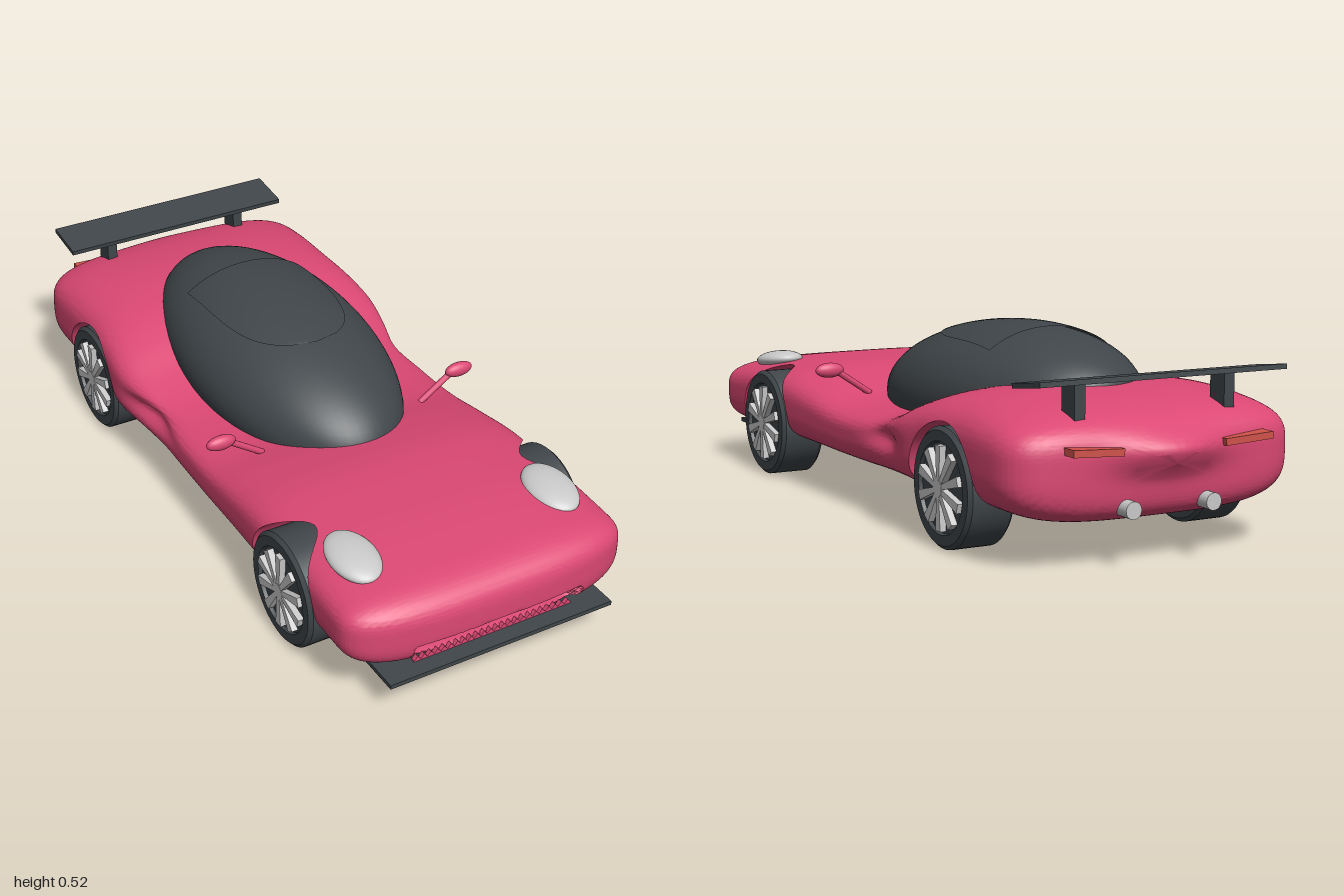
import * as THREE from 'three';
import { toCreasedNormals } from 'three/addons/utils/BufferGeometryUtils.js';

const mat = (name, color, side = THREE.FrontSide) => new THREE.MeshStandardMaterial({ name, color, side });
const smooth = THREE.MathUtils.smoothstep;

// z, top height, half width, height of the widest line
const PROFILE = [
  [-1.0, 0.34, 0.405, 0.25], [-0.9, 0.365, 0.412, 0.25], [-0.75, 0.392, 0.415, 0.25], [-0.6, 0.4, 0.413, 0.25],
  [-0.45, 0.385, 0.42, 0.25], [-0.35, 0.355, 0.425, 0.24], [-0.25, 0.315, 0.412, 0.23], [-0.13, 0.285, 0.396, 0.21],
  [0.0, 0.277, 0.395, 0.2], [0.15, 0.283, 0.398, 0.2], [0.3, 0.313, 0.402, 0.21], [0.45, 0.336, 0.408, 0.22],
  [0.6, 0.338, 0.408, 0.22], [0.75, 0.332, 0.41, 0.22], [0.88, 0.316, 0.412, 0.22], [1.0, 0.3, 0.412, 0.22],
];
const BOTTOM = 0.1, ARCH_R = 0.167, WELL_X = 0.27, WHEEL_Y = 0.155, AXLES = [-0.555, 0.6];
const AROUND = 144, N = 3.5;

// Lofted shell with wheel wells, rounded ends, side scoops, tail lip and mouth
function bodyGeometry() {
  const spline = new THREE.CubicInterpolant(
    new Float32Array(PROFILE.map(p => p[0])), new Float32Array(PROFILE.flatMap(p => p.slice(1))), 3);
  const rings = [];
  const addRing = (z, scale = 1, centreY = 0, axle = null) => {
    const [top, w, cy] = spline.evaluate(z);
    const ring = [];
    let arch = -1, edge = 9;
    if (axle !== null) {
      arch = WHEEL_Y + Math.sqrt(Math.max(0, ARCH_R ** 2 - (z - axle) ** 2));
      const k = Math.max(0, (arch - cy) / (top - cy));
      edge = Math.max(WELL_X, w * Math.max(0, 1 - k ** N) ** (1 / N));
    }
    for (let j = 0; j < AROUND; j++) {
      const a = j / AROUND * Math.PI * 2, c = Math.cos(a), s = Math.sin(a);
      const r = (Math.abs(c) ** N + Math.abs(s) ** N) ** (-1 / N);
      let x = w * r * c, y = cy + (s > 0 ? top - cy : cy - BOTTOM) * r * s, pz = z;
      // wheel well
      if (y < arch && Math.abs(x) > WELL_X) {
        y = arch;
        x = Math.sign(x) * Math.min(Math.abs(x), edge);
      }
      // side scoop
      x *= 1 - 0.07 * Math.exp(-(((z + 0.19) / 0.1) ** 2) - ((y - 0.225) / 0.028) ** 2);
      if (scale < 1) {
        x *= scale;
        y = centreY + (y - centreY) * scale;
        if (z < 0) pz -= 0.055 * Math.exp(-((x / 0.14) ** 2) - ((y - 0.28) / 0.05) ** 2);
        else pz -= 0.05 * (1 - smooth(Math.abs(x), 0.225, 0.25)) * smooth(y, 0.112, 0.122) * (1 - smooth(y, 0.163, 0.178));
      }
      ring.push(x, y, pz);
    }
    rings.push(ring);
  };
  const span = (a, b, n, axle = null) => {
    for (let i = 0; i <= n; i++) {
      const t = axle === null ? i / n : 0.5 - 0.5 * Math.cos(i / n * Math.PI);
      addRing(a + (b - a) * t, 1, 0, axle);
    }
  };
  const end = (z0, depth, p, cy, n, k) => {
    const a = k / n * Math.PI / 2;
    addRing(z0 + depth * Math.sin(a) ** (2 / p), Math.max(0, Math.cos(a)) ** (2 / p), cy);
  };
  for (let k = 36; k > 0; k--) end(-0.74, -0.205, 4.5, 0.25, 36, k);
  const [rear, front] = AXLES;
  span(-0.74, rear - ARCH_R, 2);
  span(rear - ARCH_R, rear + ARCH_R, 32, rear);
  span(rear + ARCH_R, front - ARCH_R, 50);
  span(front - ARCH_R, front + ARCH_R, 32, front);
  span(front + ARCH_R, 0.86, 6);
  for (let k = 1; k <= 44; k++) end(0.86, 0.13, 3, 0.21, 44, k);

  const index = [];
  for (let i = 0; i < rings.length - 1; i++) {
    for (let j = 0; j < AROUND; j++) {
      const k = (j + 1) % AROUND, a = i * AROUND, b = a + AROUND;
      index.push(a + j, a + k, b + j, a + k, b + k, b + j);
    }
  }
  const g = new THREE.BufferGeometry();
  g.setAttribute('position', new THREE.Float32BufferAttribute(rings.flat(), 3));
  g.setIndex(index);
  return toCreasedNormals(g, 0.7);
}

// Canopy dome, sheared so that the rear sits higher
const DOME = { x: 0.275, y: 0.195, z: 0.522, cy: 0.32, cz: -0.167, shear: 0.075 };
function domeGeometry() {
  const g = new THREE.SphereGeometry(1, 64, 40).scale(DOME.x, DOME.y, DOME.z);
  const p = g.attributes.position;
  for (let i = 0; i < p.count; i++) p.setY(i, p.getY(i) - DOME.shear * p.getZ(i));
  g.computeVertexNormals();
  return g.translate(0, DOME.cy, DOME.cz);
}
function roofGeometry() {
  const g = new THREE.PlaneGeometry(2, 1, 24, 24).rotateX(-Math.PI / 2);
  const p = g.attributes.position;
  for (let i = 0; i < p.count; i++) {
    const t = p.getZ(i) + 0.5, z = -0.38 + 0.44 * t;
    const x = p.getX(i) * 0.18 * (1 - t ** 4) ** 0.5;
    const h = Math.sqrt(1 - (x / DOME.x) ** 2 - ((z - DOME.cz) / DOME.z) ** 2);
    p.setXYZ(i, x, DOME.cy + DOME.y * h - DOME.shear * (z - DOME.cz) + 0.005, z);
  }
  g.computeVertexNormals();
  return g;
}

export function createModel() {
  const car = new THREE.Group();
  car.name = 'sportsCar';
  const paint = mat('pinkPaint', 0xdb4873);
  const dark = mat('darkGrey', 0x40464a, THREE.DoubleSide);
  const silver = mat('silver', 0xc9c9c9);
  const red = mat('tailRed', 0xd0524a);
  const add = (name, geo, material, x = 0, y = 0, z = 0, parent = car) => {
    const m = new THREE.Mesh(geo, material);
    m.name = name;
    m.position.set(x, y, z);
    parent.add(m);
    return m;
  };
  const box = (x, y, z) => new THREE.BoxGeometry(x, y, z);

  add('body', bodyGeometry(), paint);
  add('canopy', domeGeometry(), dark);
  add('roofPanel', roofGeometry(), dark);
  add('frontSplitter', box(0.66, 0.012, 0.18), dark, 0, 0.101, 0.91);

  // Toothed strip along the mouth's lower edge
  const teeth = new THREE.Shape();
  teeth.moveTo(-0.235, 0.105);
  for (let i = 0; i <= 48; i++) teeth.lineTo(-0.235 + i * 0.47 / 48, i % 2 ? 0.122 : 0.11);
  teeth.lineTo(0.235, 0.105);
  add('mouthTeeth', new THREE.ExtrudeGeometry(teeth, { depth: 0.012, bevelEnabled: false }), paint, 0, 0, 0.942);

  // Rear wing
  add('wingBoard', box(0.705, 0.013, 0.132), dark, 0, 0.447, -0.87).rotation.x = 0.13;

  // Tyre section, turned about its axle
  const tyre = toCreasedNormals(new THREE.LatheGeometry([
    [0, -0.065], [0.145, -0.065], [0.155, -0.055], [0.155, 0.055], [0.145, 0.065], [0.118, 0.065], [0.115, 0.055], [0, 0.055],
  ].map(p => new THREE.Vector2(...p)), 48), 0.5).rotateZ(-Math.PI / 2);
  const spokeShape = new THREE.Shape([[-0.006, 0.01], [0.006, 0.01], [0.013, 0.108], [-0.013, 0.108]].map(p => new THREE.Vector2(...p)));
  const spoke = new THREE.ExtrudeGeometry(spokeShape, { depth: 0.02, bevelEnabled: false }).rotateY(Math.PI / 2);

  for (const s of [1, -1]) {
    const side = s > 0 ? 'left' : 'right';
    for (const z of AXLES) {
      const wheel = new THREE.Group();
      wheel.name = side + (z > 0 ? 'FrontWheel' : 'RearWheel');
      wheel.position.set(s * 0.35, WHEEL_Y, z);
      wheel.rotation.y = s > 0 ? 0 : Math.PI;
      car.add(wheel);
      add('tyre', tyre, dark, 0, 0, 0, wheel);
      add('hub', new THREE.CylinderGeometry(0.022, 0.022, 0.02, 20).rotateZ(Math.PI / 2), silver, 0.063, 0, 0, wheel);
      for (let i = 0; i < 10; i++) add('spoke', spoke, silver, 0.052, 0, 0, wheel).rotation.x = i * Math.PI / 5;
    }
    // Lights
    add(side + 'Headlight', new THREE.SphereGeometry(1, 32, 20).scale(0.065, 0.027, 0.097), silver, s * 0.295, 0.321, 0.755).rotation.x = 0.13;
    add(side + 'TailLight', box(0.14, 0.018, 0.09), red, s * 0.215, 0.292, -0.932).rotation.z = s * 0.05;
    // Door mirror on a stalk
    add(side + 'Mirror', new THREE.SphereGeometry(1, 24, 16).scale(0.043, 0.021, 0.018), paint, s * 0.373, 0.357, 0.202);
    const stalk = new THREE.LineCurve3(new THREE.Vector3(s * 0.25, 0.285, 0.2), new THREE.Vector3(s * 0.35, 0.352, 0.2));
    add(side + 'MirrorStalk', new THREE.TubeGeometry(stalk, 1, 0.009, 12), paint);
    // Wing post and exhaust pipe
    add(side + 'WingPost', box(0.03, 0.12, 0.06), dark, s * 0.215, 0.386, -0.857);
    add(side + 'Exhaust', new THREE.CylinderGeometry(0.022, 0.022, 0.12, 24).rotateX(Math.PI / 2), silver, s * 0.115, 0.145, -0.912);
  }
  return car;
}
